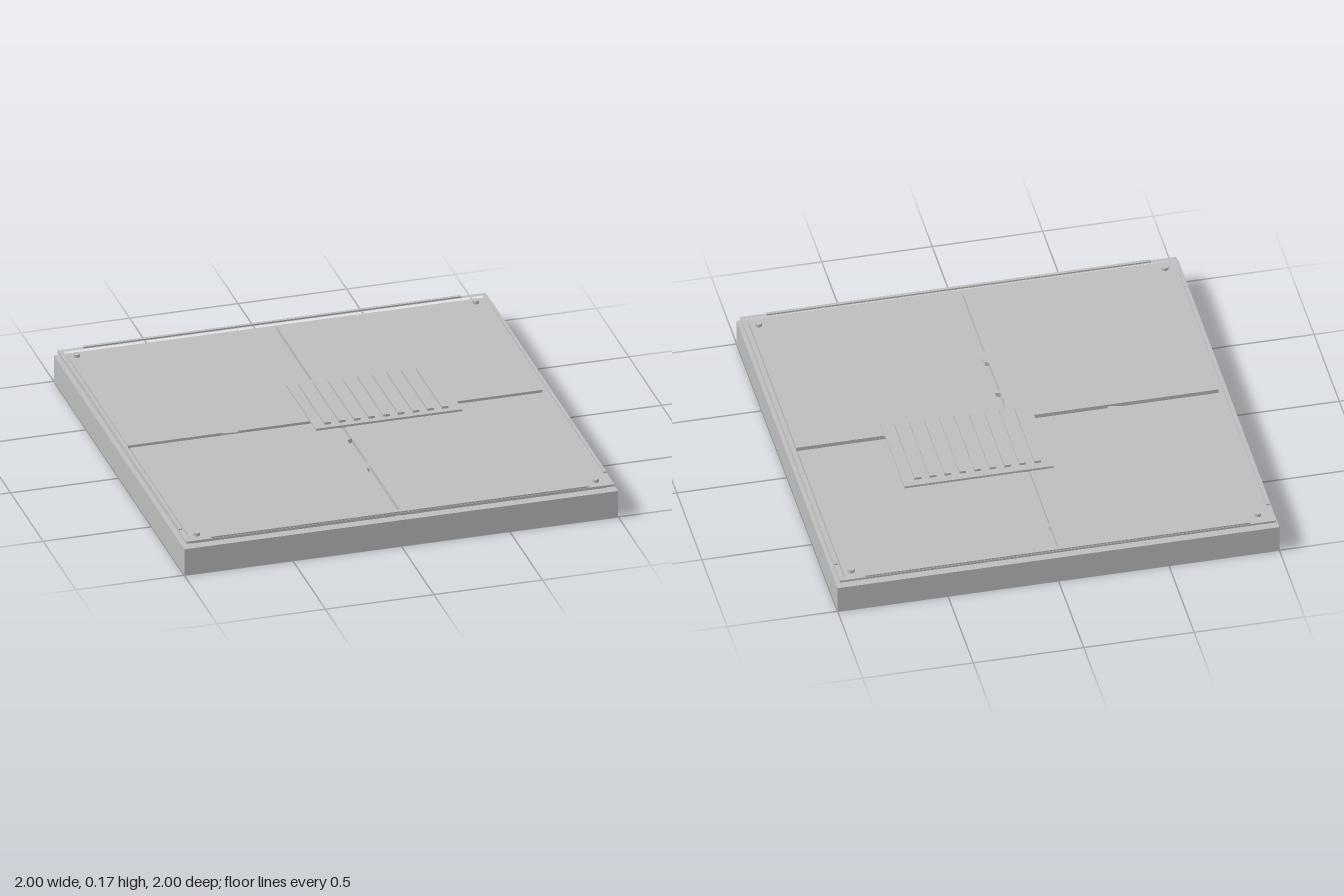
import * as THREE from 'three';

export function createModel() {
  const model = new THREE.Group();
  const grey = new THREE.MeshStandardMaterial({ color: 0xbdbdbd });
  grey.name = 'plain grey';

  const add = (name, geometry, x, y, z) => {
    const mesh = new THREE.Mesh(geometry, grey);
    mesh.name = name;
    mesh.position.set(x, y, z);
    model.add(mesh);
    return mesh;
  };
  // box given by its limits on each axis
  const box = (name, x0, x1, y0, y1, z0, z1) =>
    add(name, new THREE.BoxGeometry(x1 - x0, y1 - y0, z1 - z0), (x0 + x1) / 2, (y0 + y1) / 2, (z0 + z1) / 2);
  // flat outline in x, z raised between two heights
  const slab = (name, points, y0, y1, holes = []) => {
    const toShape = (C, list) => new C(list.map(([x, z]) => new THREE.Vector2(x, -z)));
    const shape = toShape(THREE.Shape, points);
    shape.holes = holes.map((h) => toShape(THREE.Path, h));
    const geometry = new THREE.ExtrudeGeometry(shape, { depth: y1 - y0, bevelEnabled: false });
    geometry.rotateX(-Math.PI / 2);
    return add(name, geometry, 0, y0, 0);
  };
  const square = (r) => [[-r, -r], [r, -r], [r, r], [-r, r]];

  // thick base slab
  box('base', -1, 1, 0, 0.128, -1, 1);

  // four panels with narrow seams between, a bolt at each outer corner
  for (const sx of [-1, 1]) {
    for (const sz of [-1, 1]) {
      add('panel', new THREE.BoxGeometry(0.943, 0.021, 0.943), sx * 0.4835, 0.1385, sz * 0.4835);
      add('bolt', new THREE.CylinderGeometry(0.016, 0.016, 0.016, 12), sx * 0.92, 0.156, sz * 0.92);
    }
  }

  // raised rim around the panels, with a trim bar along each side
  slab('rim', square(0.987), 0.147, 0.157, [square(0.965)]);
  for (const s of [-1, 1]) {
    box('trimBar', -0.87, 0.87, 0.157, 0.164, s * 0.978 - 0.007, s * 0.978 + 0.007);
    box('trimBar', s * 0.978 - 0.007, s * 0.978 + 0.007, 0.157, 0.164, -0.87, 0.87);
  }

  // vent plate with nine slats
  box('ventPlate', -0.118, 0.556, 0.147, 0.159, -0.383, 0.088);
  for (let i = 0; i < 9; i++) {
    const x = -0.056 + i * 0.0678;
    box('ventSlat', x - 0.015, x + 0.015, 0.157, 0.17, -0.345, 0.06);
  }

  // broken chips lodged in the seams
  const chips = [
    [[-0.013, 0.43], [0.004, 0.435], [0.012, 0.47], [0, 0.51], [-0.013, 0.51]],
    [[-0.013, 0.2], [0.011, 0.205], [-0.013, 0.22]],
    [[-0.013, -0.81], [-0.004, -0.79], [-0.013, -0.77]],
    [[-0.53, -0.013], [-0.45, -0.013], [-0.45, 0], [-0.49, -0.004]],
  ];
  for (const chip of chips) slab('seamChip', chip, 0.128, 0.149);

  return model;
}
